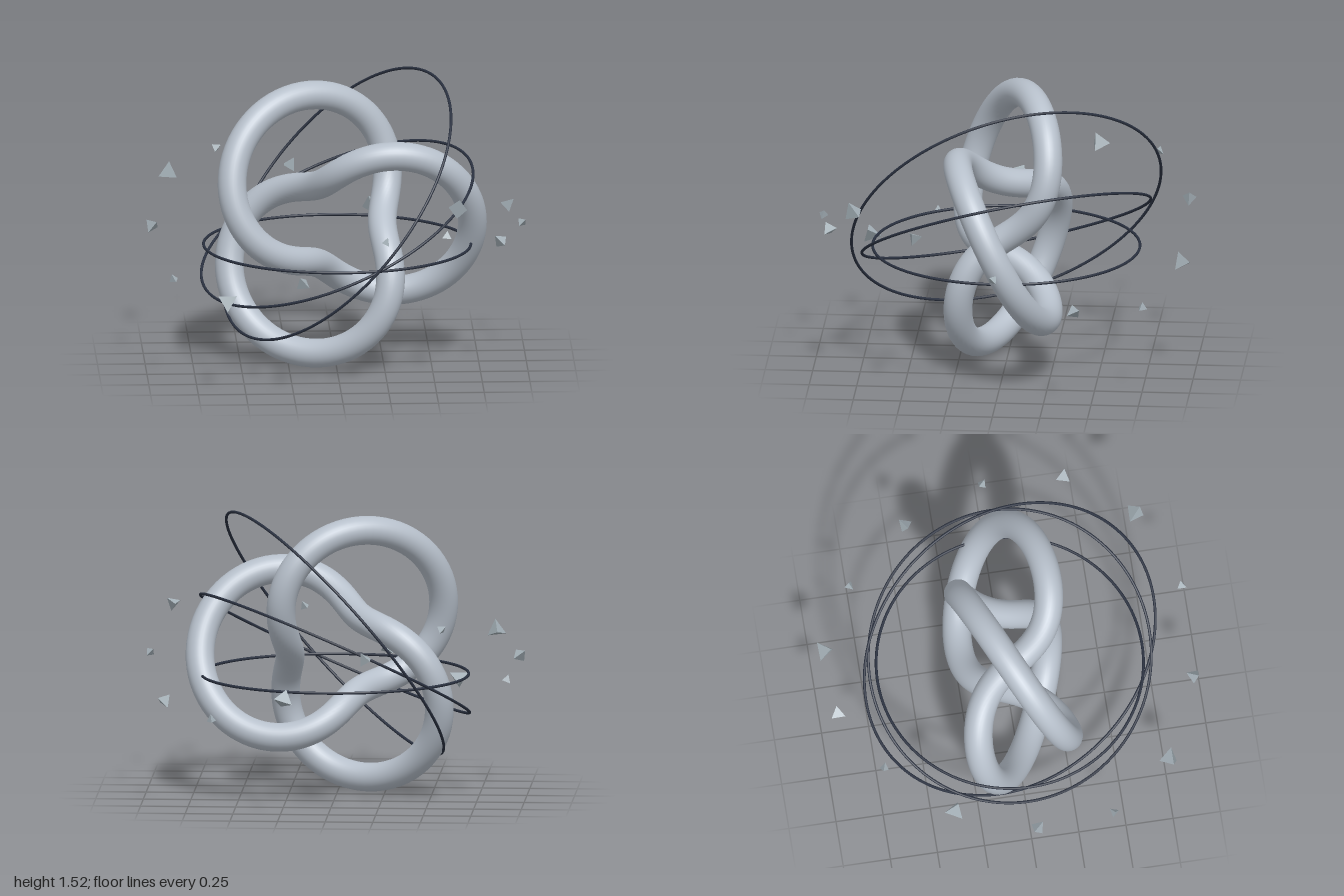
import * as THREE from 'three';

const CENTER_Y = 0.747;

export function createModel() {
  const model = new THREE.Group();
  model.name = 'knotSculpture';

  const silver = new THREE.MeshStandardMaterial({ color: 0xb6bfca });
  silver.name = 'pale silver';
  const navy = new THREE.MeshStandardMaterial({ color: 0x2a3140 });
  navy.name = 'dark navy';
  const steel = new THREE.MeshStandardMaterial({ color: 0xa3afb6 });
  steel.name = 'steel grey';

  const add = (name, geometry, material) => {
    const mesh = new THREE.Mesh(geometry, material);
    mesh.name = name;
    model.add(mesh);
    return mesh;
  };

  // Central trefoil knot
  add('knot', new THREE.TorusKnotGeometry(0.473, 0.0755, 240, 32, 2, 3), silver)
    .position.set(0.008, CENTER_Y, 0);

  // Three thin orbit rings, each larger, higher and more tilted than the last
  for (let i = 0; i < 3; i++) {
    const ring = add(`orbitRing${i + 1}`, new THREE.TorusGeometry(0.701 + 0.07 * i, 0.0075, 10, 160), navy);
    ring.position.set(0.008, CENTER_Y + 0.107 * (i - 1), 0);
    ring.rotation.set(Math.PI / 2 + 0.235 * i, 0.4 * i, 0);
  }

  // Circle of floating shards, rising and falling in two waves
  const count = 14;
  const sizes = [0.03, 0.045, 0.06];
  for (let i = 0; i < count; i++) {
    const angle = (i / count) * Math.PI * 2;
    const shard = add(`shard${i + 1}`, new THREE.TetrahedronGeometry(sizes[i % 3]), steel);
    shard.position.set(
      0.008 + 0.97 * Math.cos(angle),
      CENTER_Y + 0.25 * Math.sin(2 * angle),
      0.97 * Math.sin(angle)
    );
    shard.rotation.set(0.7 * i, 1.1 * i, 0);
  }

  return model;
}
